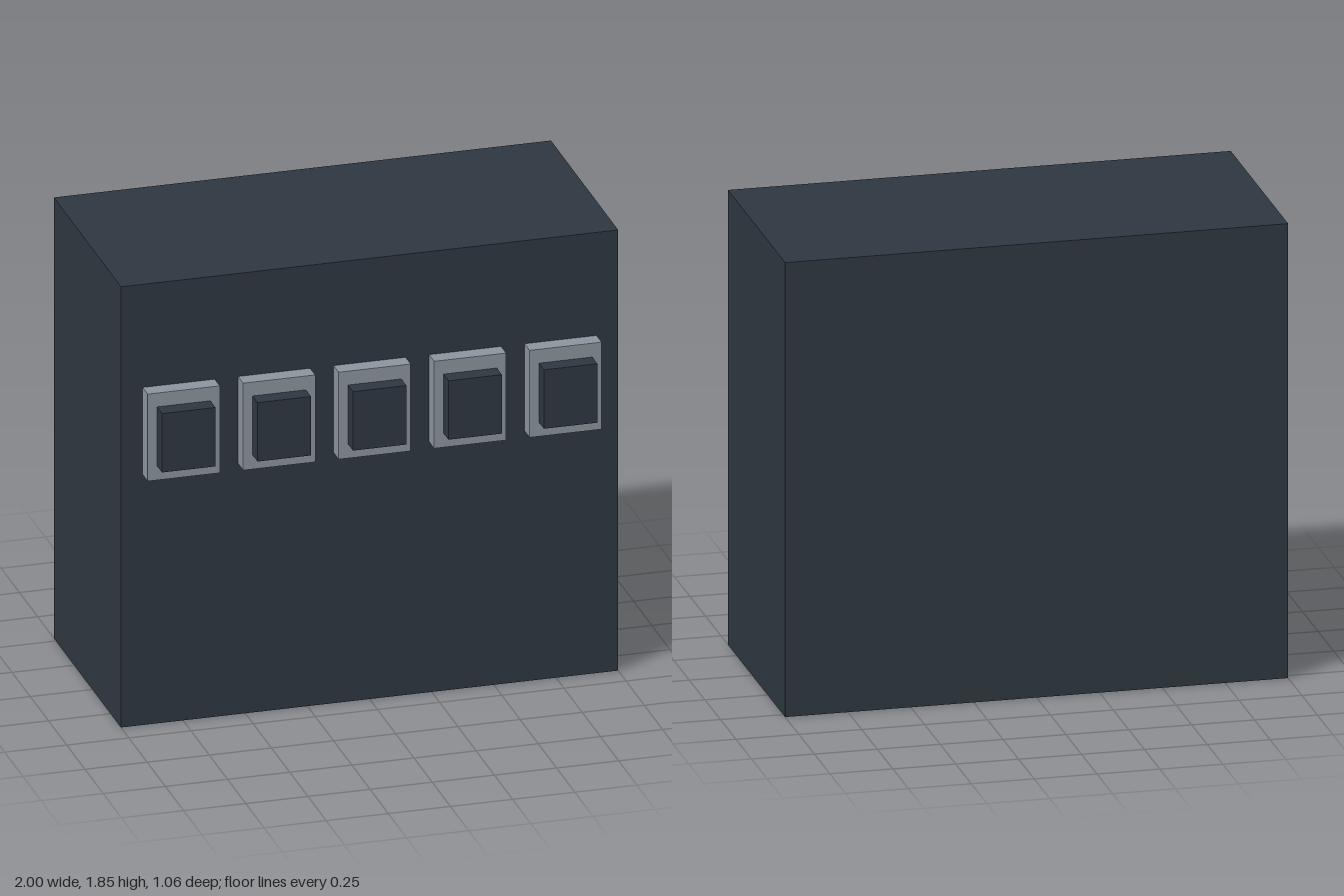
import * as THREE from 'three';

const dark = new THREE.MeshStandardMaterial({ color: 0x2e3740 });
const grey = new THREE.MeshStandardMaterial({ color: 0x8b959d });

// Box given by its centre x and its y and z extents
function block(name, material, x, width, [y0, y1], [z0, z1]) {
  const mesh = new THREE.Mesh(new THREE.BoxGeometry(width, y1 - y0, z1 - z0), material);
  mesh.name = name;
  mesh.position.set(x, (y0 + y1) / 2, (z0 + z1) / 2);
  return mesh;
}

export function createModel() {
  const model = new THREE.Group();
  model.name = 'switchCabinet';

  // Main housing
  model.add(block('housing', dark, 0, 2, [0, 1.847], [-0.53, 0.392]));

  // Row of five buttons, each on a raised plate
  for (let i = -2; i <= 2; i++) {
    const button = new THREE.Group();
    button.name = `button${i + 3}`;
    button.position.x = i * 0.384;
    button.add(
      block('buttonPlate', grey, 0, 0.29, [1.05, 1.415], [0.392, 0.461]),
      block('buttonCap', dark, 0, 0.215, [1.11, 1.357], [0.461, 0.53]),
    );
    model.add(button);
  }
  return model;
}
